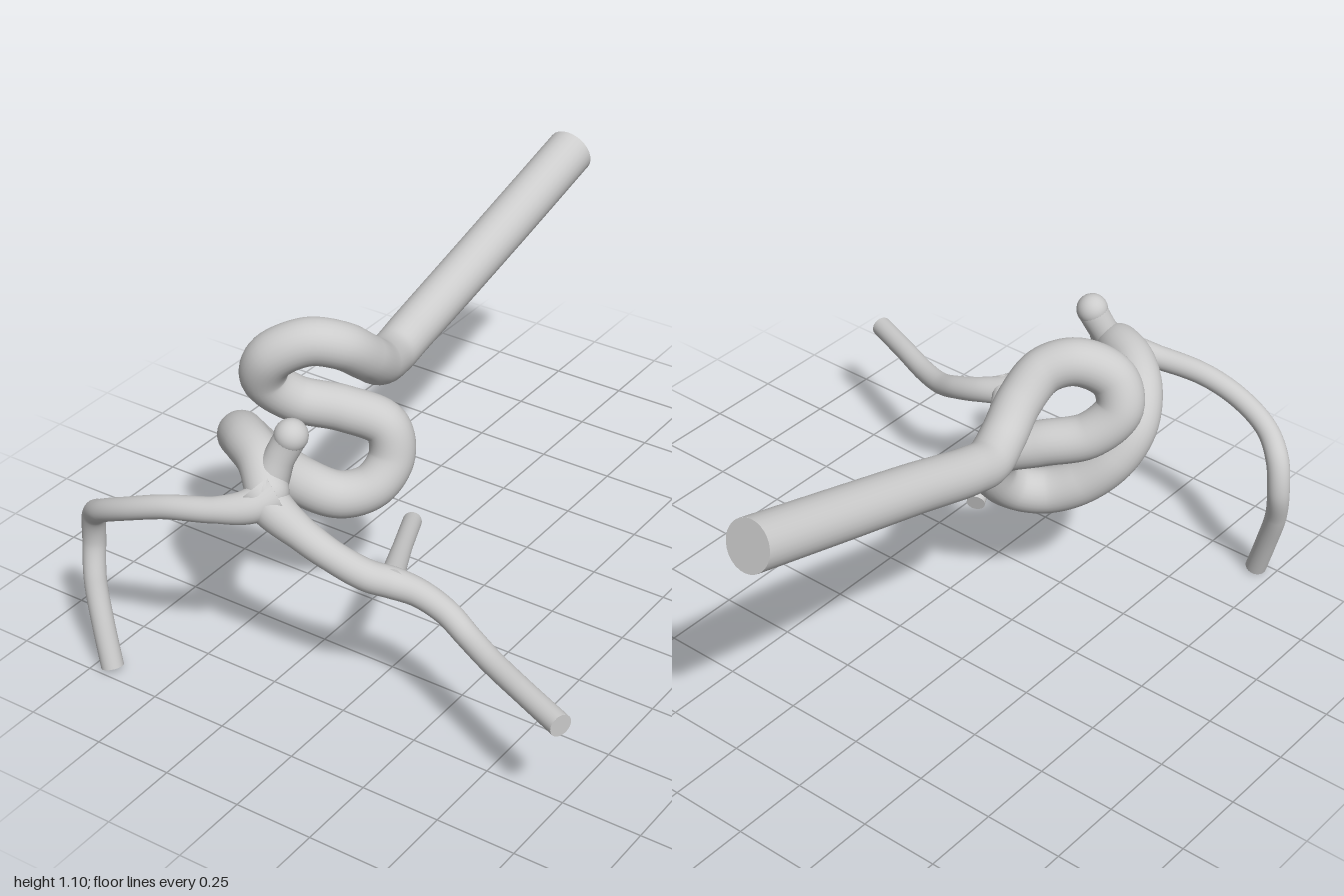
import * as THREE from 'three';

const material = new THREE.MeshStandardMaterial({ color: 0xcccccc });

// Tube whose radius is interpolated between control points [x, y, z, radius].
function vessel(name, points, { round = false, sides = 28 } = {}) {
  const group = new THREE.Group();
  group.name = name;
  const curve = new THREE.CatmullRomCurve3(points.map(([x, y, z]) => new THREE.Vector3(x, y, z)));
  curve.arcLengthDivisions = 600;
  const steps = points.length * 10;
  const geometry = new THREE.TubeGeometry(curve, steps, 1, sides);
  const position = geometry.attributes.position;
  const v = new THREE.Vector3();
  for (let i = 0; i <= steps; i++) {
    const centre = curve.getPointAt(i / steps);
    const k = curve.getUtoTmapping(i / steps) * (points.length - 1);
    const a = Math.min(Math.floor(k), points.length - 2);
    const radius = THREE.MathUtils.lerp(points[a][3], points[a + 1][3], k - a);
    for (let j = 0; j <= sides; j++) {
      const n = i * (sides + 1) + j;
      v.fromBufferAttribute(position, n).sub(centre).multiplyScalar(radius).add(centre);
      position.setXYZ(n, v.x, v.y, v.z);
    }
  }
  geometry.computeBoundingSphere();
  group.add(new THREE.Mesh(geometry, material));

  // Flat cut at the start, flat cut or rounded tip at the end
  for (const u of [0, 1]) {
    const radius = points[u * (points.length - 1)][3];
    const cap = new THREE.Mesh(
      round && u === 1 ? new THREE.SphereGeometry(radius, sides, 16) : new THREE.CircleGeometry(radius, sides),
      material
    );
    cap.position.copy(curve.getPointAt(u));
    const outward = curve.getTangentAt(u).multiplyScalar(u ? 1 : -1);
    cap.quaternion.setFromUnitVectors(new THREE.Vector3(0, 0, 1), outward);
    group.add(cap);
  }
  return group;
}

export function createModel() {
  const model = new THREE.Group();
  model.name = 'branchingVessel';

  // Long straight inlet that winds through a double loop to the fork
  model.add(vessel('mainTrunk', [
    [-0.305, 1.035, -0.975, 0.077], [-0.307, 0.94, -0.63, 0.076], [-0.31, 0.85, -0.3, 0.074],
    [-0.315, 0.785, -0.07, 0.072], [-0.31, 0.765, 0.03, 0.071], [-0.285, 0.79, 0.13, 0.07],
    [-0.27, 0.86, 0.225, 0.07], [-0.29, 0.93, 0.31, 0.071], [-0.36, 0.955, 0.38, 0.072],
    [-0.45, 0.905, 0.44, 0.073], [-0.485, 0.82, 0.43, 0.072], [-0.43, 0.735, 0.365, 0.07],
    [-0.31, 0.695, 0.28, 0.07], [-0.2, 0.645, 0.225, 0.07], [-0.175, 0.55, 0.235, 0.07],
    [-0.2, 0.475, 0.3, 0.07], [-0.27, 0.455, 0.37, 0.072], [-0.36, 0.5, 0.43, 0.073],
    [-0.435, 0.59, 0.495, 0.073], [-0.455, 0.68, 0.56, 0.072], [-0.415, 0.755, 0.635, 0.07],
    [-0.34, 0.79, 0.7, 0.069], [-0.25, 0.785, 0.755, 0.068], [-0.19, 0.735, 0.81, 0.062],
  ], { round: true }));

  // Blind rounded stub above the fork
  model.add(vessel('stub', [
    [-0.205, 0.75, 0.785, 0.06], [-0.185, 0.82, 0.755, 0.045],
    [-0.165, 0.87, 0.737, 0.046], [-0.157, 0.89, 0.733, 0.049],
  ], { round: true }));

  // Branch that arches to the right side and hangs down
  model.add(vessel('hangingBranch', [
    [-0.17, 0.735, 0.8, 0.065], [-0.215, 0.705, 0.86, 0.05], [-0.3, 0.687, 0.905, 0.038],
    [-0.45, 0.665, 0.945, 0.035], [-0.58, 0.62, 0.96, 0.034], [-0.69, 0.565, 0.945, 0.034],
    [-0.76, 0.505, 0.905, 0.036], [-0.785, 0.4, 0.89, 0.035], [-0.768, 0.28, 0.92, 0.034],
    [-0.73, 0.15, 0.945, 0.034], [-0.69, 0.02, 0.965, 0.034],
  ]));

  // Branch that slopes to the left side
  model.add(vessel('slopingBranch', [
    [-0.22, 0.745, 0.82, 0.065], [-0.16, 0.69, 0.82, 0.06], [-0.09, 0.63, 0.8, 0.049],
    [0, 0.57, 0.775, 0.045], [0.09, 0.515, 0.735, 0.046], [0.15, 0.485, 0.69, 0.046],
    [0.22, 0.465, 0.668, 0.041], [0.31, 0.435, 0.667, 0.038], [0.4, 0.4, 0.69, 0.036],
    [0.5, 0.383, 0.73, 0.035], [0.65, 0.38, 0.795, 0.034], [0.805, 0.378, 0.86, 0.034],
  ]));

  // Thin straight offshoot running back from the sloping branch
  model.add(vessel('offshoot', [
    [0.15, 0.495, 0.71, 0.044], [0.115, 0.477, 0.645, 0.034],
    [0.02, 0.427, 0.465, 0.029], [-0.08, 0.373, 0.27, 0.029],
  ]));

  return model;
}
